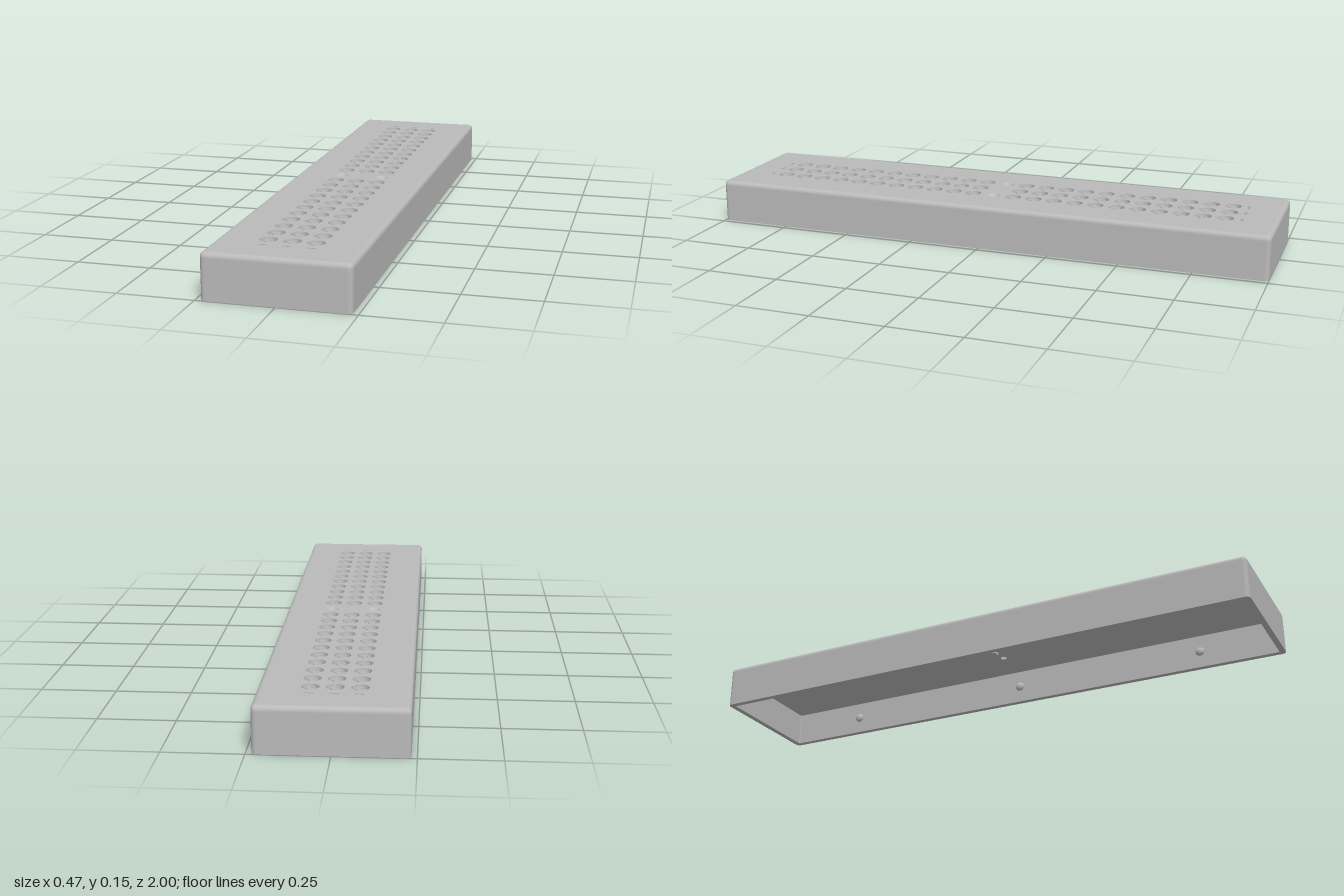
import * as THREE from 'three';

const W = 0.233, L = 1, H = 0.15;          // outer half width, half length, height
const R = 0.015, WALL = 0.02, CEIL = 0.12; // edge rounding, wall, inner ceiling height
const PITCH = 0.075;

// Rounded rectangle outline, counter-clockwise
function outline(hw, hl, r, steps = 5) {
  const pts = [];
  [[1, 1], [-1, 1], [-1, -1], [1, -1]].forEach(([sx, sy], c) => {
    for (let i = 0; i <= steps; i++) {
      const a = (c + i / steps) * Math.PI / 2;
      pts.push(new THREE.Vector2(sx * (hw - r) + r * Math.cos(a), sy * (hl - r) + r * Math.sin(a)));
    }
  });
  return pts;
}

// Skin joining outlines stacked upward; inward flips the faces
function skin(sections, inward) {
  const pos = [], idx = [];
  sections.forEach(([hw, hl, r, y]) => outline(hw, hl, r).forEach(p => pos.push(p.x, y, -p.y)));
  const n = outline(1, 1, 0.1).length;
  for (let s = 0; s < sections.length - 1; s++) {
    for (let i = 0; i < n; i++) {
      const a = s * n + i, b = s * n + (i + 1) % n, c = a + n, d = b + n;
      if (inward) idx.push(a, d, b, a, c, d);
      else idx.push(a, b, d, a, d, c);
    }
  }
  const g = new THREE.BufferGeometry();
  g.setAttribute('position', new THREE.Float32BufferAttribute(pos, 3));
  g.setIndex(idx);
  g.computeVertexNormals();
  return g;
}

// Flat horizontal plate with holes
function plate(points, holes, y, up) {
  const s = new THREE.Shape(points);
  holes.forEach(h => s.holes.push(new THREE.Path(h)));
  return new THREE.ShapeGeometry(s).rotateX(up ? -Math.PI / 2 : Math.PI / 2).translate(0, y, 0);
}

function circle(x, z, r, n = 24) {
  return Array.from({ length: n }, (_, i) => {
    const a = -i / n * Math.PI * 2;
    return new THREE.Vector2(x + r * Math.cos(a), -z + r * Math.sin(a));
  });
}

export function createModel() {
  const group = new THREE.Group();
  const grey = new THREE.MeshStandardMaterial({ color: 0xbababa });
  const greyTwoSided = new THREE.MeshStandardMaterial({ color: 0xbababa, side: THREE.DoubleSide });
  const add = (name, geometry, material = grey, x = 0, y = 0, z = 0) => {
    const m = new THREE.Mesh(geometry, material);
    m.name = name;
    m.position.set(x, y, z);
    group.add(m);
    return m;
  };

  // Positions of sockets, through holes and end slots
  const sockets = [], through = [[-PITCH, 0], [PITCH, 0]], slots = [];
  for (let col = -1; col <= 1; col++) {
    for (let row = -11; row <= 11; row++) if (row) sockets.push([col * PITCH, row * PITCH]);
    for (const s of [-1, 1]) slots.push([col * PITCH, s * 0.88]);
  }
  const slotOutline = (x, z) => outline(0.015, 0.004, 0.003, 5)
    .map(p => new THREE.Vector2(p.x + x, p.y - z)).reverse();

  // Outer walls with rounded top edge
  const outer = [[W, L, R + 0.001, 0], [W, L, R + 0.001, H - R - 0.002]];
  for (let i = 0; i <= 6; i++) {
    const a = i / 6 * Math.PI / 2, d = R * (1 - Math.cos(a));
    outer.push([W - d, L - d, R + 0.001 - d, H - R + R * Math.sin(a)]);
  }
  add('outerWalls', skin(outer, false));

  // Perforated top face
  add('topFace', plate(outline(W - R, L - R, 0.001), [
    ...sockets.map(([x, z]) => circle(x, z, 0.028)),
    ...through.map(([x, z]) => circle(x, z, 0.024)),
    ...slots.map(([x, z]) => slotOutline(x, z)),
  ], H, true));

  // Hollow underside: rim, inner walls, ceiling
  const iw = W - WALL, il = L - WALL;
  add('bottomRim', plate(outline(W, L, R + 0.001), [outline(iw, il, 0.004).reverse()], 0, false));
  add('innerWalls', skin([[iw, il, 0.004, 0], [iw, il, 0.004, CEIL]], true));
  add('ceiling', plate(outline(iw, il, 0.004),
    through.map(([x, z]) => circle(x, z, 0.012)), CEIL, false));

  // Blind sockets with a raised, dimpled centre post
  const lathe = pts => new THREE.LatheGeometry(pts.map(p => new THREE.Vector2(...p)), 24);
  const flat = g => { const f = g.toNonIndexed(); f.computeVertexNormals(); return f; };
  const socket = flat(lathe([[0, -0.01], [0.006, -0.01], [0.008, -0.003], [0.013, -0.003],
    [0.016, -0.013], [0.026, -0.013], [0.028, 0]]));
  sockets.forEach(([x, z]) => add('socket', socket, greyTwoSided, x, H, z));

  // Countersunk through holes
  const sink = flat(lathe([[0.012, CEIL - H], [0.012, -0.012], [0.024, 0]]));
  through.forEach(([x, z]) => add('throughHole', sink, greyTwoSided, x, H, z));

  // Shallow slots at both ends
  const slotWall = skin([[0.015, 0.004, 0.003, -0.008], [0.015, 0.004, 0.003, 0]], true);
  const slotFloor = plate(outline(0.015, 0.004, 0.003), [], -0.008, true);
  slots.forEach(([x, z]) => {
    add('slotWall', slotWall, grey, x, H, z);
    add('slotFloor', slotFloor, grey, x, H, z);
  });

  // Small fitting in the middle of the ceiling
  add('fittingBase', new THREE.CylinderGeometry(0.026, 0.026, 0.008, 24), grey, 0, CEIL - 0.004, 0);
  add('fittingTab', new THREE.BoxGeometry(0.03, 0.012, 0.014), grey, 0, CEIL - 0.012, 0);

  // Catch bumps along the inside of the long walls
  const bump = new THREE.SphereGeometry(0.016, 20, 12).scale(0.6, 1, 1);
  for (const s of [-1, 1]) for (const z of [-0.7, 0, 0.7]) add('catchBump', bump, grey, s * iw, 0.06, z);

  return group;
}
